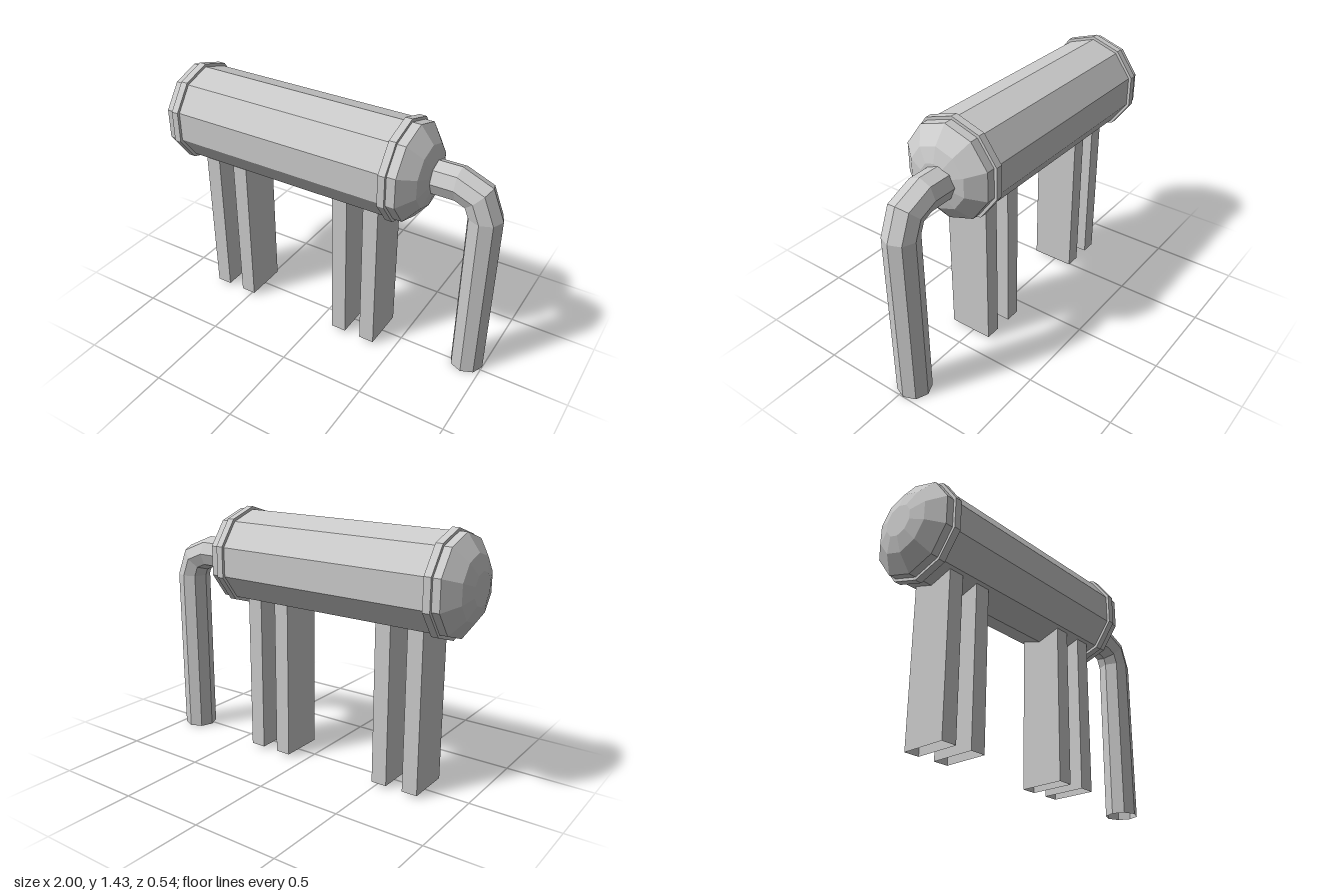
import * as THREE from 'three';

const material = new THREE.MeshStandardMaterial({
  color: 0xcccccc, flatShading: true, side: THREE.DoubleSide,
});

const TANK_Y = 1.15;
const PIPE = { radius: 0.095, bend: 0.15, x: 0.905, y: 1.14, z: -0.027, sides: 8 };

export function createModel() {
  const model = new THREE.Group();
  model.name = 'tankOnLegs';

  const add = (parent, name, geometry, x = 0, y = 0, z = 0) => {
    const mesh = new THREE.Mesh(geometry, material);
    mesh.name = name;
    mesh.position.set(x, y, z);
    parent.add(mesh);
    return mesh;
  };

  // Ten-sided solid of revolution along x, from [x, radius] pairs, with an edge on top
  const turned = (profile) => new THREE.LatheGeometry(
    profile.map(([x, r]) => new THREE.Vector2(r, x)), 10, Math.PI / 2,
  ).rotateZ(-Math.PI / 2);

  // Tank shell with domed ends
  add(model, 'tank', turned([
    [-1, 0], [-1, 0.09], [-0.973, 0.175], [-0.905, 0.268],
    [0.53, 0.268], [0.604, 0.175], [0.626, 0.09], [0.626, 0],
  ]), 0, TANK_Y);

  // Raised bands near both ends
  const band = turned([
    [-0.02, 0.26], [-0.02, 0.285], [0.02, 0.285], [0.02, 0.26],
  ]);
  for (const x of [-0.842, 0.46]) add(model, 'band', band, x, TANK_Y);

  // Hollow legs, open at the bottom, running up into the tank
  const legShape = new THREE.CylinderGeometry(Math.SQRT1_2, Math.SQRT1_2, 1, 4, 1, true)
    .rotateY(Math.PI / 4)
    .scale(0.09, 0.985, 0.257);
  for (const x of [-0.71, -0.52, 0.147, 0.336]) {
    add(model, 'leg', legShape, x, 0.015 + 0.985 / 2, 0.008);
  }

  // Outlet pipe: horizontal run, two-step elbow and open downpipe
  const pipe = new THREE.Group();
  pipe.name = 'outletPipe';
  model.add(pipe);
  const { radius, bend, x, y, z, sides } = PIPE;
  const straight = (length) =>
    new THREE.CylinderGeometry(radius, radius, length, sides, 1, true);
  const startX = 0.58;
  const elbowX = x - bend;
  const elbowY = y - bend;
  add(pipe, 'horizontalRun', straight(elbowX - startX).rotateZ(Math.PI / 2),
    (elbowX + startX) / 2, y, z);
  add(pipe, 'elbow', new THREE.TorusGeometry(bend, radius, sides, 2, Math.PI / 2),
    elbowX, elbowY, z);
  add(pipe, 'downpipe', straight(elbowY), x, elbowY / 2, z);

  return model;
}
